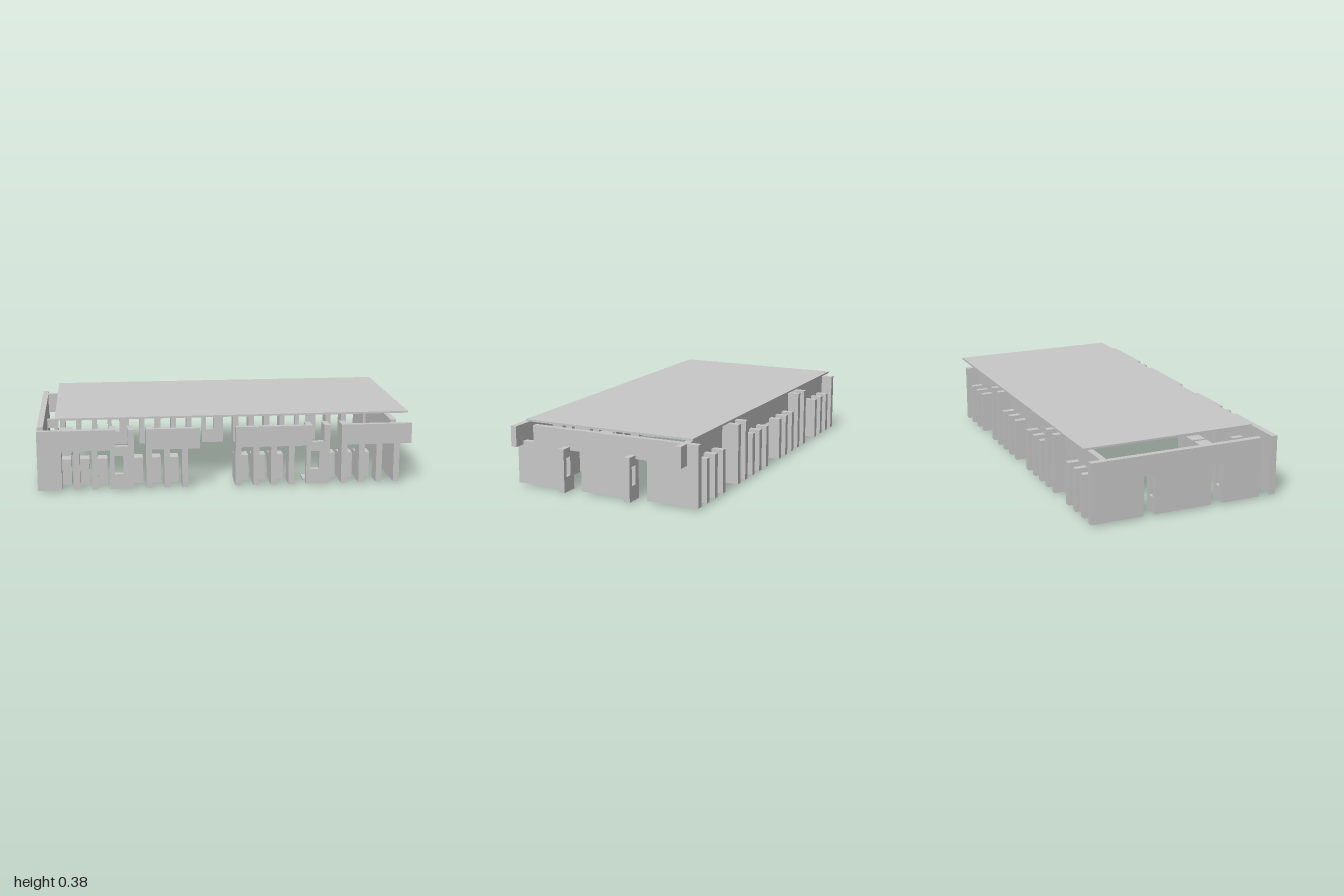
import * as THREE from 'three';

const U = 2 / 63;                       // plan grid unit: wall thickness
const X = u => -1 + u * U;
const Z = u => -16.5 * U + u * U;
const FLOOR = 0.01, SILL = 0.15, LINTEL = 0.22, FIN = 0.24, TOP = 0.33;

export function createModel() {
  const model = new THREE.Group();
  const grey = new THREE.MeshStandardMaterial({ color: 0xc8c8c8 });
  grey.name = 'light grey';

  const group = (name, parent = model) => {
    const g = new THREE.Group();
    g.name = name;
    parent.add(g);
    return g;
  };

  // Box between plan grid lines (x, z) and heights (y)
  const block = (name, parent, x0, x1, y0, y1, z0, z1) => {
    const m = new THREE.Mesh(new THREE.BoxGeometry((x1 - x0) * U, y1 - y0, (z1 - z0) * U), grey);
    m.position.set((X(x0) + X(x1)) / 2, (y0 + y1) / 2, (Z(z0) + Z(z1)) / 2);
    m.name = name;
    parent.add(m);
  };

  // Panel in the xy plane with a small window hole
  const doorPanel = (parent, x0, x1, h0, h1, z0) => {
    const rect = (P, a, b, c, d) => {
      const p = new P();
      p.moveTo(X(a), c);
      p.lineTo(X(b), c);
      p.lineTo(X(b), d);
      p.lineTo(X(a), d);
      p.closePath();
      return p;
    };
    const s = rect(THREE.Shape, x0, x1, FLOOR, FIN);
    s.holes.push(rect(THREE.Path, h0, h1, 0.09, 0.19));
    const m = new THREE.Mesh(new THREE.ExtrudeGeometry(s, { depth: U, bevelEnabled: false }), grey);
    m.position.z = Z(z0);
    m.name = 'doorPanel';
    parent.add(m);
  };

  // Long wall: lintels, piers with fins on the -z side, doors with windows
  const longWall = (name, z, { lintels, fins, tall, raised, doors }) => {
    const g = group(name);
    lintels.forEach(([a, b]) => block('lintel', g, a, b, LINTEL, TOP, z, z + 1));
    fins.forEach(u => {
      block('pier', g, u, u + 1, FLOOR, LINTEL, z, z + 1);
      block('fin', g, u, u + 1, FLOOR, FIN, z - 2, z);
    });
    tall.forEach(u => block('tallFin', g, u, u + 1, FLOOR, TOP, z - 2, z + 1));
    raised.forEach(u => block('doorBracket', g, u, u + 1, FIN, TOP, z - 2, z));
    doors.forEach(u => doorPanel(g, u, u + 3, u + 0.75, u + 2.2, z));
    return g;
  };

  const front = longWall('frontWall', 32, {
    lintels: [[0, 13], [18, 27], [33, 46], [51, 63]],
    fins: [3, 6, 9, 21, 24, 33, 36, 39, 42, 54, 57, 60],
    tall: [15, 18, 48, 51],
    raised: [12, 45],
    doors: [12, 45],
  });
  block('cornerPier', front, 0, 3, FLOOR, LINTEL, 32, 33);

  longWall('backWall', 2, {
    lintels: [[1, 16], [18, 46], [48, 63]],
    fins: [3, 6, 9, 21, 24, 27, 33, 36, 39, 51, 54, 57, 60],
    tall: [15, 18, 42, 45],
    raised: [],
    doors: [12, 30, 48],
  });

  // End walls: two doorways, each with an open door leaf
  [['rightEndWall', 0], ['leftEndWall', 60]].forEach(([name, x]) => {
    const g = group(name);
    block('lintel', g, x, x + 1, LINTEL, TOP, 0, 30);
    [[0, 9], [11, 21], [23, 30]].forEach(([a, b]) =>
      block('wallPanel', g, x, x + 1, FLOOR, LINTEL, a, b));
    [11, 23].forEach(z => doorPanel(g, x + 1, x + 3, x + 1.05, x + 2.25, z));
  });

  // Low cabinets in rows of three
  const cabinets = group('cabinets');
  [3.2, 15.2, 33.1, 48.1].forEach(start => {
    for (let i = 0; i < 3; i++) {
      const u = start + i * 3;
      block('cabinet', cabinets, u, u + 2.4, FLOOR, SILL, 27.3, 29.8);
    }
  });
  [6.5, 12.8, 18.5].forEach(z => block('cabinet', cabinets, 3, 5.4, FLOOR, SILL, z, z + 2.4));

  // Door mats inside the front doors
  [12, 45].forEach(u => block('doorMat', model, u, u + 2.95, 0, FLOOR, 27.2, 30));

  // Flat roof floating above the walls
  block('roof', model, 3, 63, 0.366, 0.376, 0, 30);
  return model;
}
